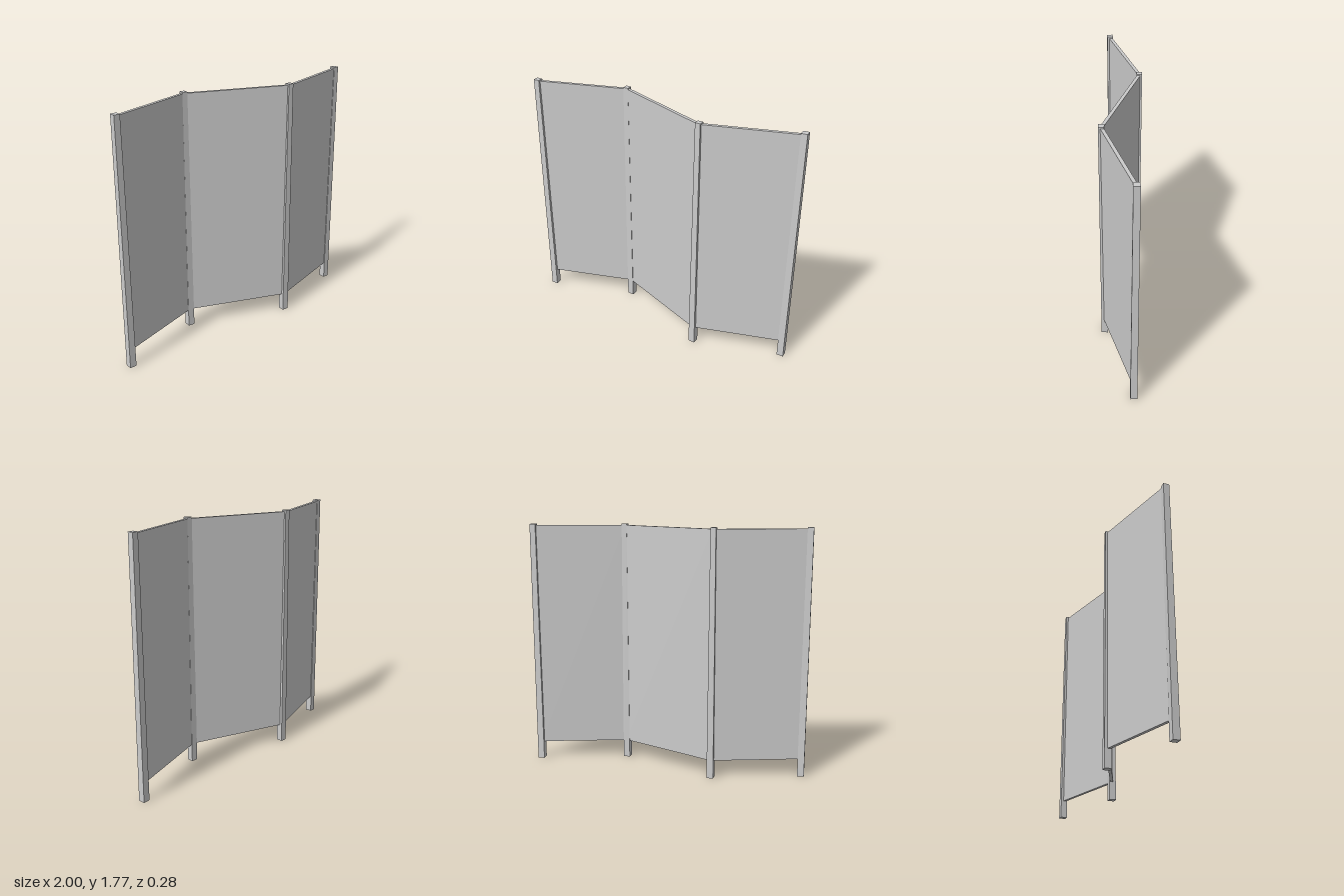
import * as THREE from 'three';

const HEIGHT = 1.775;
const PANEL_BOTTOM = 0.13;
const PANEL_TOP = 1.765;
const PANEL_THICKNESS = 0.023;

// x, z, top width, foot width and turn of each post, in folding order
const POSTS = [
  { x: -0.974, z: 0.111, top: 0.042, foot: 0.048, turn: 0.08 },
  { x: -0.36, z: -0.115, top: 0.038, foot: 0.048, turn: 0 },
  { x: 0.356, z: 0.113, top: 0.038, foot: 0.048, turn: 0 },
  { x: 0.974, z: -0.111, top: 0.042, foot: 0.048, turn: 0.08 },
];

const material = new THREE.MeshStandardMaterial({ color: 0xcccccc, flatShading: true });

// Square post, slightly wider at the foot
function makePost({ x, z, top, foot, turn }) {
  const geometry = new THREE.CylinderGeometry(top / Math.SQRT2, foot / Math.SQRT2, HEIGHT, 4);
  geometry.rotateY(Math.PI / 4 + turn);
  const post = new THREE.Mesh(geometry, material);
  post.position.set(x, HEIGHT / 2, z);
  return post;
}

// Thin panel spanning the centres of two neighbouring posts
function makePanel(a, b) {
  const dx = b.x - a.x;
  const dz = b.z - a.z;
  const geometry = new THREE.BoxGeometry(Math.hypot(dx, dz), PANEL_TOP - PANEL_BOTTOM, PANEL_THICKNESS);
  const panel = new THREE.Mesh(geometry, material);
  panel.position.set((a.x + b.x) / 2, (PANEL_TOP + PANEL_BOTTOM) / 2, (a.z + b.z) / 2);
  panel.rotation.y = -Math.atan2(dz, dx);
  return panel;
}

export function createModel() {
  const screen = new THREE.Group();
  screen.name = 'foldingScreen';
  POSTS.forEach((spec, i) => {
    const post = makePost(spec);
    post.name = `post${i + 1}`;
    screen.add(post);
    if (i > 0) {
      const panel = makePanel(POSTS[i - 1], spec);
      panel.name = `panel${i}`;
      screen.add(panel);
    }
  });
  return screen;
}
